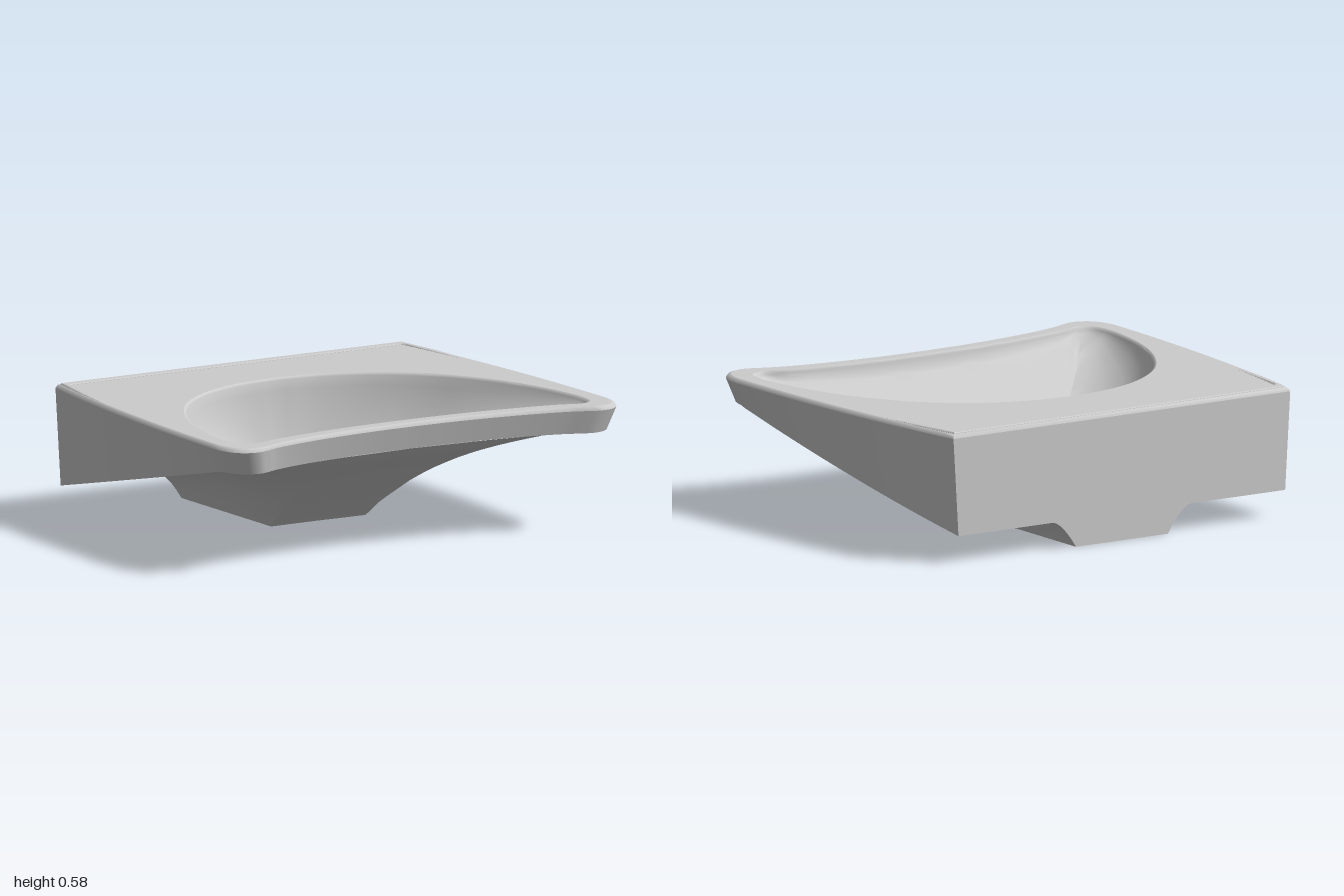
import * as THREE from 'three';
import { toCreasedNormals } from 'three/addons/utils/BufferGeometryUtils.js';

const BACK = -0.83, DECK_Y = 0.57, EDGE_Y = 0.552;
const lerp = THREE.MathUtils.lerp;
const clamp = THREE.MathUtils.clamp;

// piecewise-linear lookup in [[key, value], ...]
function table(rows, k) {
  if (k <= rows[0][0]) return rows[0][1];
  for (let i = 1; i < rows.length; i++) {
    const [a, va] = rows[i - 1], [b, vb] = rows[i];
    if (k <= b) return lerp(va, vb, (k - a) / (b - a || 1));
  }
  return rows[rows.length - 1][1];
}

// smooth half outline [x, z], a fixed number of samples per control segment
function smoothHalf(points, per = 4) {
  const curve = new THREE.CatmullRomCurve3(points.map(([x, z]) => new THREE.Vector3(x, 0, z)));
  const n = (points.length - 1) * per;
  return Array.from({ length: n + 1 }, (_, i) => {
    const p = curve.getPoint(i / n);
    return [Math.max(p.x, 0), p.z];
  });
}

// mirror a half outline that ends on the centre line into a whole loop
function mirrorLoop(half) {
  const other = half.slice(0, -1).filter(([x]) => x > 1e-6).reverse();
  return [...half, ...other.map(([x, z]) => [-x, z])];
}

// skin between successive rings of [x, y, z]
function loft(rings, closed, crease) {
  const n = rings[0].length, index = [];
  for (let r = 0; r < rings.length - 1; r++) {
    for (let i = 0; i < (closed ? n : n - 1); i++) {
      const j = (i + 1) % n, a = r * n + i, b = r * n + j;
      index.push(a, b, a + n, b, b + n, a + n);
    }
  }
  const geo = new THREE.BufferGeometry();
  geo.setAttribute('position', new THREE.Float32BufferAttribute(rings.flat(2), 3));
  geo.setIndex(index);
  return toCreasedNormals(geo, crease);
}

const toVec = ([x, z]) => new THREE.Vector2(x, -z);

export function createModel() {
  const group = new THREE.Group();
  const ceramic = new THREE.MeshStandardMaterial({ color: 0xcccccc });
  ceramic.name = 'ceramic';
  const add = (name, geo) => {
    const mesh = new THREE.Mesh(geo, ceramic);
    mesh.name = name;
    group.add(mesh);
    return mesh;
  };

  // outer outline, from back corner round the front horn to the middle
  const outerHalf = smoothHalf([
    [0.88, BACK], [0.915, -0.6], [0.95, -0.3], [0.975, 0], [0.992, 0.3], [1, 0.6], [0.998, 0.7],
    [0.972, 0.78], [0.925, 0.82], [0.87, 0.83], [0.82, 0.815], [0.75, 0.787], [0.6, 0.75],
    [0.4, 0.72], [0.2, 0.703], [0, 0.698],
  ]);
  const tip = 36; // sample at the foremost point of the horn
  const outer = mirrorLoop(outerHalf);
  const ring = (loop, s, y) => loop.map(([x, z]) => [x * s, y, z * s]);

  // rounded top edge
  add('topEdge', loft([
    ring(outer, 0.982, DECK_Y), ring(outer, 0.993, DECK_Y - 0.004), ring(outer, 1, EDGE_Y),
  ], true, 1.2));

  // side and front walls, tapering to a sloping lower edge
  const planeY = z => Math.min(0.45, 0.12 + (z - BACK) * 0.22);
  const taper = ([x, z]) => [x * 0.97, (z - BACK) * 0.98 + BACK];
  add('outerWall', loft([
    ring(outer, 1, EDGE_Y),
    outer.map(p => { const [x, z] = taper(p); return [x, planeY(z), z]; }),
  ], false, 0.6));

  // underside: sloping plane with a flared central trough
  const low = outerHalf.map(taper);
  const [tipX, tipZ] = low[tip], midZ = low[low.length - 1][1];
  const frontShape = low.slice(tip).reverse().map(([x, z]) => [x / tipX, (z - midZ) / (tipZ - midZ)]);
  const troughY = [[BACK, 0], [-0.1, 0], [0, 0.08], [0.2, 0.205], [0.4, 0.31], [0.6, 0.405], [midZ, 0.449]];
  const troughX = [[BACK, 0.36], [-0.65, 0.395], [-0.19, 0.51], [0.08, 0.615], [0.31, 0.73], [0.53, 0.86], [0.67, 0.95]];
  const rows = low.slice(0, tip + 1).map(([ox, oz]) => {
    let zc = lerp(BACK, midZ, (oz - BACK) / (tipZ - BACK));
    if (Math.abs(zc + 0.1) < 0.035) zc = -0.1;
    const flat = table([[-0.1, 0.24], [0.67, 0.36]], zc);
    const wide = Math.min(table(troughX, oz), ox * 0.97);
    const power = table([[BACK, 1.6], [0.4, 1.35]], zc);
    const y0 = table(troughY, zc);
    const half = [[0, y0, zc]];
    const place = (x, s) => {
      const z = zc + (oz - zc) * table(frontShape, x / ox);
      half.push([x, lerp(y0, planeY(z), s), z]);
    };
    for (let k = 0; k <= 8; k++) place(lerp(flat, wide, k / 8), 1 - Math.pow(1 - k / 8, power));
    for (let k = 1; k <= 4; k++) place(lerp(wide, ox, k / 4), 1);
    return [...half.slice(1).reverse().map(([x, y, z]) => [-x, y, z]), ...half];
  });
  add('underside', loft(rows, false, 0.35));

  // flat back against the wall
  const backShape = new THREE.Shape([
    new THREE.Vector2(0.88, EDGE_Y), new THREE.Vector2(-0.88, EDGE_Y),
    ...rows[0].map(([x, y]) => new THREE.Vector2(x, y)),
  ]);
  add('backPanel', new THREE.ShapeGeometry(backShape).rotateY(Math.PI).translate(0, 0, BACK));

  // bowl rim and the outline of its sloping floor, matched point for point
  const rim = mirrorLoop(smoothHalf([
    [0, -0.44], [0.2, -0.415], [0.4, -0.337], [0.6, -0.18], [0.745, 0.03], [0.835, 0.25], [0.88, 0.45],
    [0.893, 0.6], [0.875, 0.69], [0.82, 0.72], [0.7, 0.687], [0.4, 0.642], [0.2, 0.628], [0, 0.624],
  ]));
  const floor = mirrorLoop(smoothHalf([
    [0, -0.35], [0.07, -0.335], [0.12, -0.28], [0.17, -0.18], [0.25, 0], [0.42, 0.22], [0.6, 0.42],
    [0.76, 0.6], [0.79, 0.67], [0.78, 0.69], [0.68, 0.66], [0.4, 0.615], [0.2, 0.602], [0, 0.597],
  ]));
  const floorY = z => table([[-0.35, 0.125], [-0.3, 0.115], [-0.18, 0.115], [-0.1, 0.13], [0, 0.182],
    [0.2, 0.292], [0.4, 0.397], [0.6, 0.5], [0.7, 0.53]], z);
  const drainZ = -0.24, rimY = 0.558;
  const bowlRings = [];
  for (let k = 0; k <= 12; k++) {
    const f = k / 12;
    bowlRings.push(floor.map(([x, z]) => {
      const pz = lerp(drainZ, z, f);
      return [x * f, floorY(pz), pz];
    }));
  }
  const wall = [[0.75, 0.87], [0.5, 0.69], [0.25, 0.45], [0.1, 0.23], [0.04, 0.1], [0, 0]];
  for (const [t, d] of wall) {
    bowlRings.push(rim.map(([x, z], i) => [
      lerp(x, floor[i][0], t), lerp(rimY, floorY(floor[i][1]), d), lerp(z, floor[i][1], t),
    ]));
  }
  const grow = (s) => rim.map(([x, z]) => [x * s, (z - 0.2) * s + 0.2]);
  for (const [s, y] of [[1.005, DECK_Y - 0.004], [1.016, DECK_Y]]) {
    bowlRings.push(grow(s).map(([x, z]) => [x, y, z]));
  }
  add('bowl', loft(bowlRings, true, 0.9));

  // flat deck with the bowl opening
  const deckShape = new THREE.Shape(outer.map(([x, z]) => toVec([x * 0.982, z * 0.982])));
  deckShape.holes.push(new THREE.Path(grow(1.016).map(toVec)));
  add('deck', new THREE.ShapeGeometry(deckShape).rotateX(-Math.PI / 2).translate(0, DECK_Y, 0));

  // low chamfered lip along the back, fading out along the sides
  const lipHalf = [[0.925, -0.38], [0.9, -0.6], [0.866, -0.812]];
  const lipInner = [[0, -0.772], [0.825, -0.772], [0.842, -0.766], [0.85, -0.75], [0.875, -0.58], [0.903, -0.38]];
  const flip = list => list.map(([x, z]) => [-x, z]).reverse();
  const lipShape = new THREE.Shape([
    ...lipHalf, ...flip(lipHalf), ...flip(lipInner).slice(0, -1), ...lipInner,
  ].map(toVec));
  const lip = new THREE.ExtrudeGeometry(lipShape, {
    depth: 0.001, bevelThickness: 0.005, bevelSize: 0.005, bevelOffset: -0.005, bevelSegments: 1,
  }).rotateX(-Math.PI / 2);
  const pos = lip.attributes.position;
  for (let i = 0; i < pos.count; i++) {
    pos.setY(i, pos.getY(i) * clamp((-0.36 - pos.getZ(i)) / 0.35, 0, 1));
  }
  lip.computeVertexNormals();
  add('backLip', lip.translate(0, DECK_Y, 0));

  // thin drain cover in the bottom of the bowl
  const drain = add('drainCover', new THREE.CylinderGeometry(0.07, 0.07, 0.008, 32));
  drain.position.set(0, 0.117, drainZ);

  return group;
}
